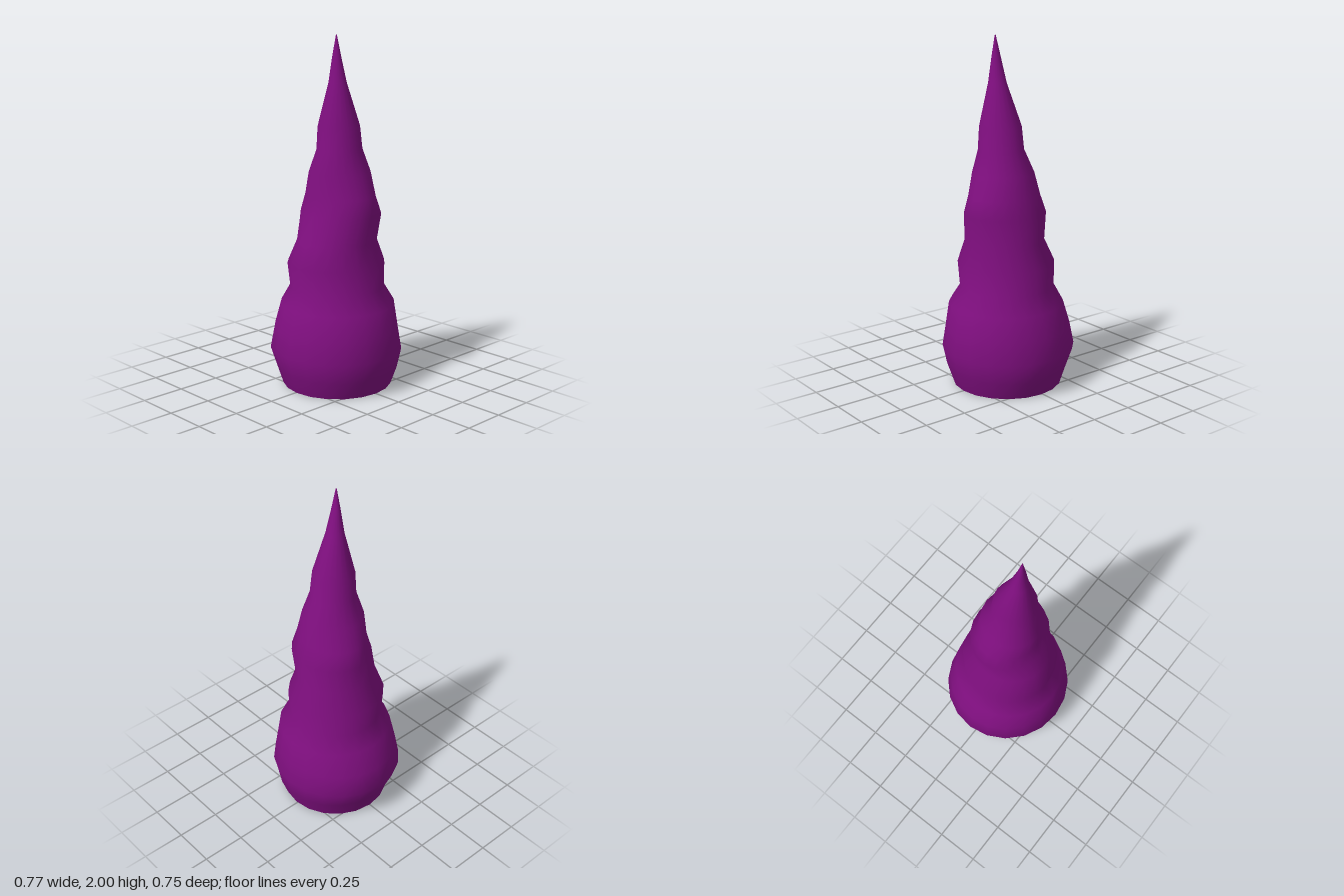
import * as THREE from 'three';

const SIDES = 20;

// Horizontal cross-sections: [y, xMin, xMax, zMin, zMax]
const RINGS = [
  [0, -0.305, 0.325, -0.315, 0.315],
  [0.1, -0.335, 0.36, -0.35, 0.35],
  [0.215, -0.387, 0.387, -0.376, 0.376],
  [0.34, -0.362, 0.368, -0.352, 0.353],
  [0.48, -0.315, 0.345, -0.327, 0.33],
  [0.58, -0.26, 0.28, -0.27, 0.27],
  [0.72, -0.265, 0.285, -0.274, 0.29],
  [0.85, -0.205, 0.243, -0.222, 0.243],
  [1.01, -0.21, 0.27, -0.228, 0.21],
  [1.11, -0.182, 0.245, -0.188, 0.18],
  [1.24, -0.14, 0.207, -0.174, 0.18],
  [1.37, -0.087, 0.17, -0.118, 0.143],
  [1.5, -0.077, 0.16, -0.102, 0.137],
  [1.74, -0.003, 0.101, -0.016, 0.085],
  [1.88, 0.023, 0.078, 0.02, 0.066],
  [2, 0.05, 0.056, 0.045, 0.05],
];

// Vertices of one elliptical ring
function ringPoints([y, x0, x1, z0, z1]) {
  const points = [];
  for (let i = 0; i < SIDES; i++) {
    const a = (i / SIDES) * Math.PI * 2;
    points.push(
      (x0 + x1) / 2 + Math.cos(a) * (x1 - x0) / 2,
      y,
      (z0 + z1) / 2 + Math.sin(a) * (z1 - z0) / 2
    );
  }
  return points;
}

function makeMesh(name, positions, index, material) {
  const geometry = new THREE.BufferGeometry();
  geometry.setAttribute('position', new THREE.Float32BufferAttribute(positions, 3));
  geometry.setIndex(index);
  geometry.computeVertexNormals();
  const mesh = new THREE.Mesh(geometry, material);
  mesh.name = name;
  return mesh;
}

export function createModel() {
  const group = new THREE.Group();
  group.name = 'spiralHorn';
  const purple = new THREE.MeshStandardMaterial({ color: 0x800f80 });

  // Bulging, tapering body lofted through the rings
  const positions = RINGS.flatMap(ringPoints);
  const index = [];
  for (let r = 0; r < RINGS.length - 1; r++) {
    for (let i = 0; i < SIDES; i++) {
      const j = (i + 1) % SIDES;
      const a = r * SIDES + i, b = r * SIDES + j;
      index.push(a, a + SIDES, b, b, a + SIDES, b + SIDES);
    }
  }
  // Close the tip
  const last = (RINGS.length - 1) * SIDES;
  for (let i = 1; i < SIDES - 1; i++) index.push(last, last + i + 1, last + i);
  group.add(makeMesh('hornBody', positions, index, purple));

  // Flat base, separate so its edge stays sharp
  const baseIndex = [];
  for (let i = 1; i < SIDES - 1; i++) baseIndex.push(0, i, i + 1);
  group.add(makeMesh('hornBase', ringPoints(RINGS[0]), baseIndex, purple));

  return group;
}
